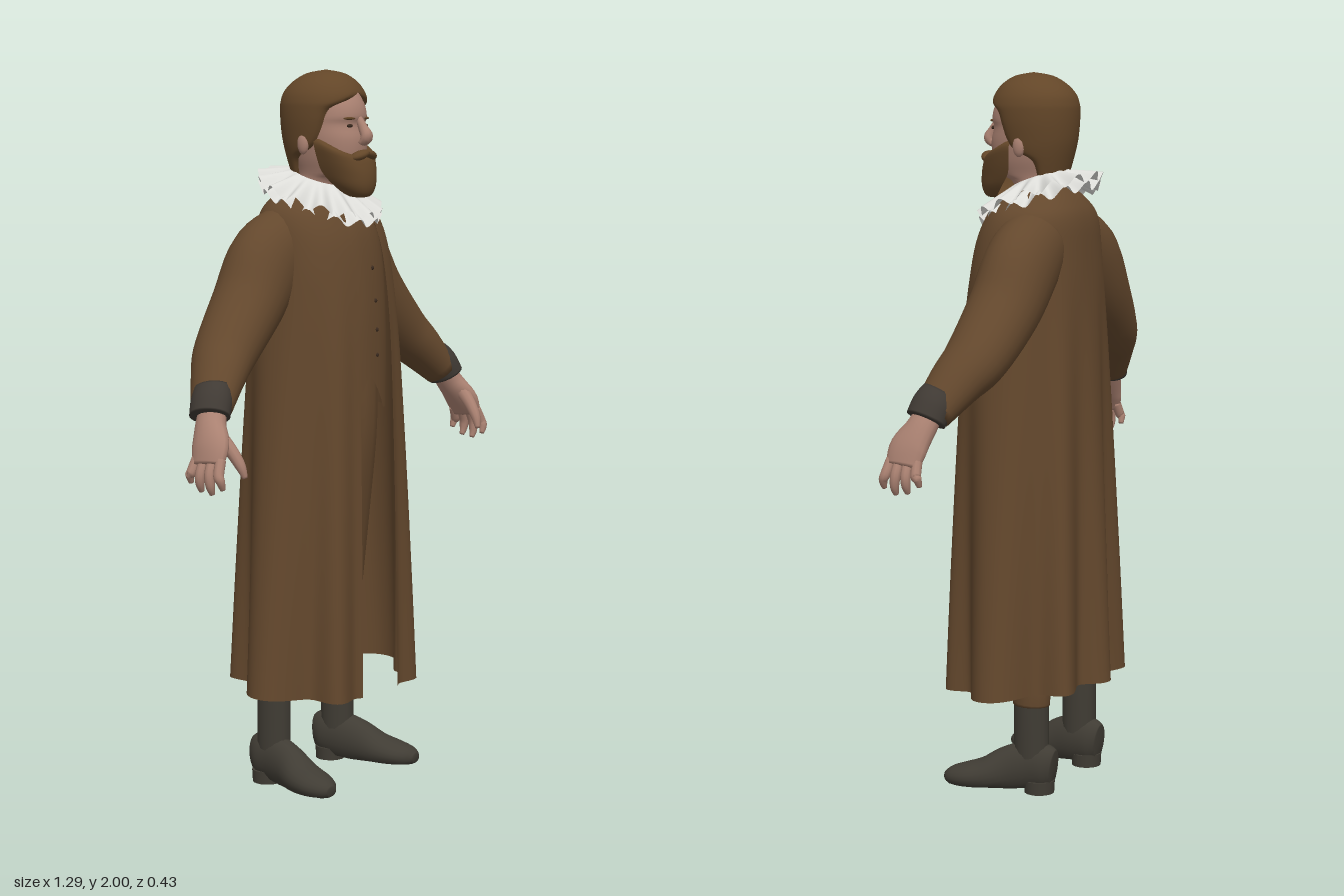
import * as THREE from 'three';
import { mergeVertices } from 'three/addons/utils/BufferGeometryUtils.js';

const mat = (name, color, side = THREE.FrontSide) => {
  const m = new THREE.MeshStandardMaterial({ color, side });
  m.name = name;
  return m;
};

// Smooth grid surface from a rule p(u, v); u runs round, v runs along
function surface(p, nu, nv) {
  const pos = [], idx = [];
  for (let j = 0; j <= nv; j++) {
    for (let i = 0; i <= nu; i++) pos.push(...p(i / nu, j / nv));
  }
  for (let j = 0; j < nv; j++) {
    for (let i = 0; i < nu; i++) {
      const a = j * (nu + 1) + i, b = a + nu + 1;
      idx.push(a, a + 1, b, a + 1, b + 1, b);
    }
  }
  let g = new THREE.BufferGeometry();
  g.setAttribute('position', new THREE.Float32BufferAttribute(pos, 3));
  g.setIndex(idx);
  g = mergeVertices(g, 1e-5);
  g.computeVertexNormals();
  return g;
}

// Catmull-Rom blend between rows of numbers
function blend(rows, t) {
  const n = rows.length - 1, f = Math.min(t * n, n - 1e-9), i = Math.floor(f), k = f - i;
  const at = (j) => rows[Math.max(0, Math.min(n, j))];
  return rows[0].map((_, c) => {
    const a = at(i - 1)[c], b = at(i)[c], d = at(i + 1)[c], e = at(i + 2)[c];
    return b + 0.5 * k * (d - a + k * (2 * a - 5 * b + 4 * d - e + k * (3 * (b - d) + e - a)));
  });
}

const power = (x, e) => Math.sign(x) * Math.abs(x) ** e;

// Point on a level section [y, halfWidth, frontZ, backZ]; angle 0 is the front
function section([y, rx, zf, zb], a, e = 1, k = 1) {
  return [rx * k * power(Math.sin(a), e), y, (zf + zb) / 2 + ((zf - zb) / 2) * k * power(Math.cos(a), e)];
}

// Rounded limb along rows [x, y, z, radius along ref, radius across]; s mirrors x
function limb(rows, s = 1, { ref = [0, 0, 1], nu = 16, nv = rows.length * 4, floor = -1 } = {}) {
  const centre = (t) => { const r = blend(rows, t); return new THREE.Vector3(r[0] * s, r[1], r[2]); };
  return surface((u, v) => {
    // the outermost rings close the ends
    const q = v === 0 || v === 1 ? 0 : 1;
    const t = THREE.MathUtils.clamp((v * nv - 1) / (nv - 2), 0, 1);
    const c = centre(t), axis = new THREE.Vector3(...ref);
    const d = centre(Math.min(1, t + 0.01)).sub(centre(Math.max(0, t - 0.01))).normalize();
    const n1 = axis.clone().addScaledVector(d, -d.dot(axis)).normalize();
    const n2 = d.clone().cross(n1);
    const r = blend(rows, t);
    const a = u === 1 ? 0 : u * Math.PI * 2;
    c.addScaledVector(n1, r[3] * q * Math.cos(a)).addScaledVector(n2, r[4] * q * Math.sin(a));
    return [c.x, Math.max(floor, c.y), c.z];
  }, nu, nv);
}

export function createModel() {
  const root = new THREE.Group();
  root.name = 'beardedManInCoat';
  const cloth = mat('brownCloth', 0x64482d, THREE.DoubleSide);
  const hairMat = mat('brownHair', 0x634628, THREE.DoubleSide);
  const skin = mat('skin', 0xab8272);
  const white = mat('whiteLinen', 0xdcdcd8, THREE.DoubleSide);
  const cuffMat = mat('darkCuff', 0x403a34);
  const leather = mat('darkLeather', 0x403c34);
  const dark = mat('darkDetail', 0x3a2a1f);

  const add = (name, g, m, parent = root) => {
    const mesh = new THREE.Mesh(g, m);
    mesh.name = name;
    parent.add(mesh);
    return mesh;
  };
  const ball = (name, m, p, size) => {
    const b = add(name, new THREE.SphereGeometry(1, 14, 10), m);
    b.position.set(...p);
    b.scale.set(...size);
    return b;
  };

  // Long coat, open at the front, with folds deepening towards the hem
  const coatRows = [
    [0.27, 0.28, 0.217, -0.192], [0.6, 0.265, 0.212, -0.186], [1.0, 0.243, 0.203, -0.176], [1.3, 0.222, 0.192, -0.166],
    [1.5, 0.205, 0.168, -0.155], [1.6, 0.185, 0.134, -0.145], [1.65, 0.14, 0.1, -0.12], [1.69, 0.08, 0.05, -0.08],
  ];
  const gap = 0.28;
  const coatPoint = (a, v) => {
    const r = blend(coatRows, v);
    const f = THREE.MathUtils.clamp((1.45 - r[0]) / 1.18, 0, 1);
    const near = Math.min(a, Math.PI * 2 - a) - gap;
    const fold = 0.13 * Math.cos(8 * a + 1.6 * Math.sin(2 * a)) + 0.13 * Math.exp(-((near / 0.1) ** 2));
    const p = section(r, a, 0.85 + 0.08 * f, 1 + fold * f);
    p[1] += 0.015 * f ** 4 * (1 - Math.cos(a));
    return p;
  };
  add('coat', surface((u, v) => coatPoint(gap + u * 2 * (Math.PI - gap), v), 144, 36), cloth);

  // Waistcoat with an inverted V at the lower front edge
  const vestRows = [
    [1.07, 0.14, 0.186, -0.1], [1.3, 0.15, 0.182, -0.12], [1.5, 0.16, 0.16, -0.12], [1.6, 0.13, 0.128, -0.1], [1.67, 0.06, 0.07, -0.05],
  ];
  add('waistcoat', surface((u, v) => {
    const a = (u === 1 ? 0 : u) * Math.PI * 2, near = Math.abs(Math.atan2(Math.sin(a + 0.1), Math.cos(a + 0.1)));
    const p = section(blend(vestRows, v), a, 0.85);
    p[1] += 0.1 * (1 - v) ** 3 * Math.max(0, 1 - near / 0.4);
    return p;
  }, 64, 16), cloth);
  for (const [y, z] of [[1.22, 0.184], [1.29, 0.183], [1.37, 0.178], [1.46, 0.167]]) {
    ball('button', dark, [0.014, y, z], [0.006, 0.006, 0.005]);
  }

  for (const s of [1, -1]) {
    const side = s > 0 ? 'left' : 'right';
    // Sleeve, with a dark cuff showing on the outer side of the wrist
    add(side + 'Sleeve', limb([
      [0.1, 1.54, -0.035, 0.095, 0.1], [0.195, 1.475, -0.04, 0.1, 0.12], [0.285, 1.37, -0.035, 0.1, 0.1],
      [0.4, 1.258, -0.018, 0.09, 0.082], [0.47, 1.195, 0.01, 0.077, 0.066], [0.545, 1.115, 0.045, 0.057, 0.046],
    ], s, { nu: 24 }), cloth);
    add(side + 'Cuff', limb([
      [0.521, 1.172, 0.03, 0.052, 0.04], [0.54, 1.14, 0.042, 0.058, 0.048], [0.561, 1.102, 0.052, 0.057, 0.047],
    ], s, { nu: 24 }), cuffMat);

    // Hand with four fingers and a thumb
    const hand = new THREE.Group();
    hand.name = side + 'Hand';
    root.add(hand);
    add('palm', limb([
      [0.54, 1.125, 0.048, 0.04, 0.032], [0.57, 1.08, 0.062, 0.044, 0.033],
      [0.598, 1.03, 0.084, 0.056, 0.028], [0.618, 0.985, 0.09, 0.05, 0.018],
    ], s), skin, hand);
    for (let i = 0; i < 4; i++) {
      const drop = [0.025, 0.005, 0, 0.015][i];
      add('finger', limb([
        [0.611, 1.0, 0.05 + 0.026 * i, 0.014, 0.014], [0.629, 0.963, 0.045 + 0.03 * i, 0.014, 0.014],
        [0.63, 0.932 + drop, 0.04 + 0.034 * i, 0.012, 0.012], [0.622, 0.91 + drop, 0.038 + 0.035 * i, 0.007, 0.007],
      ], s, { nu: 10 }), skin, hand);
    }
    add('thumb', limb([
      [0.58, 1.065, 0.09, 0.022, 0.02], [0.572, 1.02, 0.132, 0.018, 0.017],
      [0.566, 0.982, 0.157, 0.014, 0.014], [0.56, 0.95, 0.168, 0.007, 0.007],
    ], s, { nu: 10 }), skin, hand);

    // Breeches, stocking and shoe
    add(side + 'BreechesLeg', limb([
      [0.065, 1.22, 0.02, 0.12, 0.075], [0.074, 1.0, 0.015, 0.115, 0.08], [0.1, 0.75, 0, 0.085, 0.078],
      [0.132, 0.5, -0.03, 0.068, 0.06], [0.152, 0.32, -0.05, 0.056, 0.047], [0.153, 0.25, -0.05, 0.053, 0.045],
    ], s), cloth);
    add(side + 'Stocking', limb([
      [0.153, 0.3, -0.05, 0.049, 0.043], [0.153, 0.2, -0.05, 0.05, 0.043], [0.153, 0.08, -0.05, 0.05, 0.042],
    ], s), leather);
    add(side + 'Shoe', limb([
      [0.148, 0.072, -0.118, 0.052, 0.028], [0.15, 0.075, -0.09, 0.066, 0.043], [0.155, 0.072, -0.04, 0.07, 0.046],
      [0.168, 0.06, 0.015, 0.064, 0.048], [0.185, 0.042, 0.075, 0.048, 0.057], [0.198, 0.034, 0.13, 0.037, 0.056],
      [0.206, 0.03, 0.17, 0.028, 0.04], [0.208, 0.028, 0.192, 0.014, 0.018],
    ], s, { ref: [0, 1, 0], floor: 0.01, nu: 20 }), leather);
    const heel = add(side + 'Heel', new THREE.CylinderGeometry(0.044, 0.042, 0.036, 18), leather);
    heel.position.set(s * 0.152, 0.018, -0.074);

    // Ear, eye, brow and moustache half
    ball(side + 'Ear', skin, [s * 0.1, 1.8, 0.015], [0.012, 0.03, 0.018]);
    ball(side + 'Eye', dark, [s * 0.036, 1.848, 0.126], [0.012, 0.005, 0.005]);
    ball(side + 'Brow', hairMat, [s * 0.038, 1.868, 0.126], [0.02, 0.004, 0.008]).rotation.y = s * 0.3;
    const tache = ball(side + 'Moustache', hairMat, [s * 0.023, 1.768, 0.15], [0.032, 0.013, 0.02]);
    tache.rotation.set(0, s * 0.35, s * -0.3);
  }

  // Head and neck
  const headRows = [
    [1.58, 0.065, 0.06, -0.06], [1.69, 0.066, 0.07, -0.06], [1.72, 0.07, 0.115, -0.065], [1.76, 0.082, 0.136, -0.08],
    [1.81, 0.091, 0.14, -0.09], [1.85, 0.094, 0.131, -0.095], [1.875, 0.094, 0.137, -0.095], [1.915, 0.091, 0.125, -0.095],
    [1.955, 0.068, 0.09, -0.07], [1.975, 0, 0.02, 0.02],
  ];
  add('head', surface((u, v) => section(blend(headRows, v), (u === 1 ? 0 : u) * Math.PI * 2, 0.92), 40, 36), skin);
  add('nose', limb([
    [0, 1.868, 0.13, 0.01, 0.01], [0, 1.84, 0.146, 0.014, 0.013], [0, 1.818, 0.157, 0.017, 0.018], [0, 1.8, 0.143, 0.01, 0.016],
  ], 1, { nu: 12 }), skin);

  // Hair shell; the fifth number is the half angle left open for the face
  const hairRows = [
    [1.71, 0.078, 0.08, -0.078, 1.95], [1.76, 0.094, 0.1, -0.092, 1.8], [1.79, 0.103, 0.12, -0.1, 1.3], [1.82, 0.108, 0.128, -0.106, 1.08],
    [1.86, 0.113, 0.136, -0.11, 0.97], [1.895, 0.114, 0.139, -0.111, 0.82], [1.915, 0.112, 0.137, -0.109, 0.4], [1.94, 0.103, 0.128, -0.1, 0],
    [1.967, 0.082, 0.108, -0.075, 0], [1.99, 0.046, 0.072, -0.035, 0], [2.0, 0, 0.02, 0.02, 0],
  ];
  add('hair', surface((u, v) => {
    const r = blend(hairRows, v), open = Math.max(0, r[4]);
    const tuck = open > 0.01 ? 0.14 * Math.exp(-Math.min(u, 1 - u) * 40) * Math.min(1, open * 2) : 0;
    return section(r, open + u * 2 * (Math.PI - open), 0.97, 1 - tuck);
  }, 48, 40), hairMat);

  // Full beard rising to the sideburns
  const beardRows = [
    [1.652, 0, 0.135, 0.135], [1.657, 0.034, 0.162, 0.085], [1.68, 0.06, 0.173, 0.03], [1.71, 0.077, 0.173, -0.02],
    [1.74, 0.09, 0.166, -0.03], [1.764, 0.097, 0.154, -0.03], [1.768, 0.08, 0.128, -0.03],
  ];
  add('beard', surface((u, v) => {
    const a = (u * 2 - 1) * 1.7, p = section(blend(beardRows, v), a, 0.9);
    p[1] += 0.055 * v * v * Math.min(1, 1 - Math.cos(a));
    return p;
  }, 36, 20), hairMat);

  // Pleated ruff in two layers, tipped down at the front
  const ruff = (phase, lift, outer) => surface((u, v) => {
    const a = u * Math.PI * 2, wave = Math.cos(14 * a + phase);
    const r = 0.078 + (outer - 0.078) * v + 0.006 * v * wave;
    const z = r * Math.cos(a) * 0.97;
    return [r * Math.sin(a), 1.7 + lift - 0.34 * z - 0.05 * v + 0.013 * v * wave, z];
  }, 140, 6);
  add('ruffUpper', ruff(0, 0.01, 0.174), white);
  add('ruffLower', ruff(Math.PI, -0.012, 0.17), white);

  return root;
}
